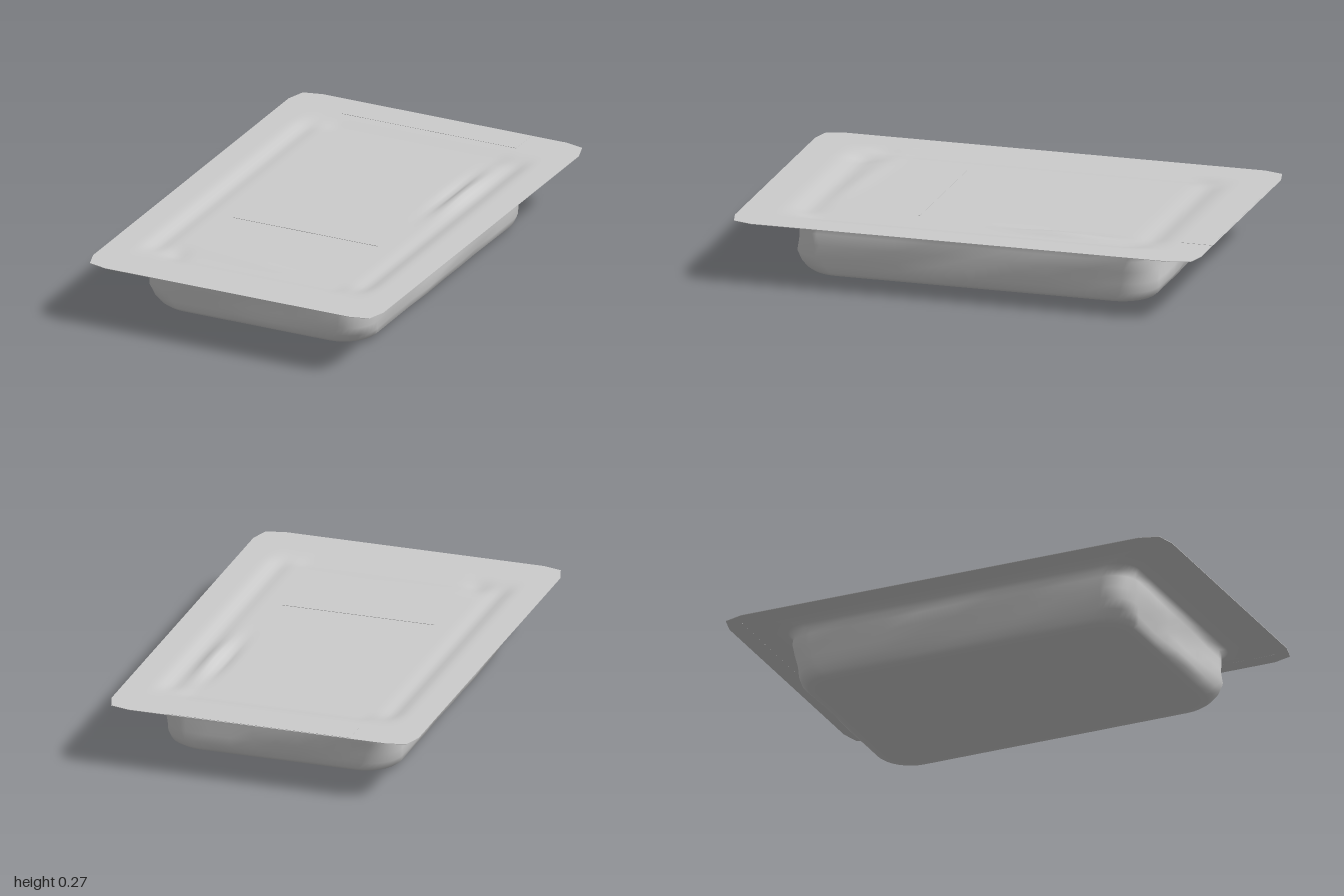
import * as THREE from 'three';

const RIM = 0.265;
const grey = () => new THREE.MeshStandardMaterial({ color: 0xcccccc, side: THREE.DoubleSide });
const bump = (v, centre, width) => Math.exp(-(((v - centre) / width) ** 2));
const smooth = THREE.MathUtils.smoothstep;

function add(group, name, geometry) {
  const mesh = new THREE.Mesh(geometry, grey());
  mesh.name = name;
  group.add(mesh);
  return mesh;
}

// Rounded rectangle as a closed loop of [x, z], same point count for any size
function roundedLoop(hx, hz, r) {
  const pts = [];
  const arc = 8, straight = 8;
  [[1, 1], [-1, 1], [-1, -1], [1, -1]].forEach(([sx, sz], k) => {
    for (let i = 0; i <= arc; i++) {
      const a = (k + i / arc) * Math.PI / 2;
      pts.push([sx * (hx - r) + r * Math.cos(a), sz * (hz - r) + r * Math.sin(a)]);
    }
    const [x, z] = pts[pts.length - 1];
    const across = k % 2 === 0;
    for (let i = 1; i < straight; i++) {
      const t = 1 - 2 * i / straight;
      pts.push(across ? [x * t, z] : [x, z * t]);
    }
  });
  return pts;
}

// Loft of rounded rectangles: [half x, half z, corner radius, y, wobble]
function trayGeometry() {
  const rings = [
    [0.002, 0.002, 0.001, 0.003, 0], [0.34, 0.6, 0.1, 0.003, 0],
    [0.44, 0.7, 0.13, 0.008, 0], [0.475, 0.735, 0.14, 0.014, 0.1],
    [0.493, 0.752, 0.14, 0.03, 0.5], [0.504, 0.763, 0.13, 0.06, 1],
    [0.51, 0.768, 0.12, 0.1, 1], [0.512, 0.77, 0.12, 0.15, 1],
    [0.514, 0.772, 0.11, 0.2, 0.8], [0.508, 0.772, 0.11, 0.232, 0.3],
    [0.522, 0.79, 0.1, 0.246, 0], [0.545, 0.84, 0.09, 0.257, 0],
    [0.575, 0.9, 0.07, 0.263, 0], [0.602, 0.935, 0.04, 0.2645, 0],
  ];
  const pos = [], index = [];
  let n = 0;
  for (const [hx, hz, r, y, w] of rings) {
    const loop = roundedLoop(hx, hz, r);
    n = loop.length;
    for (const [x, z] of loop) {
      const a = Math.atan2(z, x);
      const k = 1 + w * (0.007 * Math.sin(5 * a + y * 25) + 0.005 * Math.sin(11 * a - y * 40));
      pos.push(x * k, y, z * k);
    }
  }
  for (let j = 0; j < rings.length - 1; j++) {
    for (let i = 0; i < n; i++) {
      const a = j * n + i, b = j * n + (i + 1) % n;
      index.push(a, a + n, b, b, a + n, b + n);
    }
  }
  const g = new THREE.BufferGeometry();
  g.setAttribute('position', new THREE.Float32BufferAttribute(pos, 3));
  g.setIndex(index);
  g.computeVertexNormals();
  return g;
}

// Height of the stretched film over the tray
function filmHeight(x, z) {
  const ax = Math.abs(x), az = Math.abs(z);
  const inside = (1 - smooth(ax, 0.44, 0.55)) * (1 - smooth(az, 0.7, 0.85));
  let y = RIM + 0.001 - 0.009 * inside;
  // shallow gutters around the packed block
  y -= 0.008 * bump(ax, 0.48, 0.035) * (1 - smooth(az, 0.65, 0.78));
  y -= 0.007 * bump(az, 0.74, 0.05) * (1 - smooth(ax, 0.36, 0.46));
  // soft wrinkles near the front corners
  y += 0.004 * bump(z, 0.66 + 0.12 * x, 0.04) * bump(x, -0.1, 0.3);
  y -= 0.005 * bump(x - 0.3 * (z - 0.7), -0.37, 0.04) * bump(z, 0.72, 0.07);
  // lifted fold with a valley beside it
  const along = bump(z, -0.35, 0.2);
  y += 0.016 * bump(x, 0.41, 0.03) * along - 0.012 * bump(x, 0.36, 0.025) * along;
  return y;
}

function filmGeometry() {
  const g = new THREE.PlaneGeometry(1.2, 1.86, 60, 80).rotateX(-Math.PI / 2);
  const p = g.attributes.position;
  for (let i = 0; i < p.count; i++) p.setY(i, filmHeight(p.getX(i), p.getZ(i)));
  g.computeVertexNormals();
  return g;
}

// Flat rim with clipped corners and a rectangular opening
function flangeGeometry() {
  const corner = [[0.665, 0.9], [0.64, 0.98], [0.56, 1]];
  const flip = (sx, sz) => corner.map(([x, z]) => new THREE.Vector2(sx * x, sz * z));
  const shape = new THREE.Shape([
    ...flip(1, 1), ...flip(-1, 1).reverse(), ...flip(-1, -1), ...flip(1, -1).reverse(),
  ]);
  shape.holes.push(new THREE.Path([
    [-0.598, -0.928], [-0.598, 0.928], [0.598, 0.928], [0.598, -0.928],
  ].map(([x, z]) => new THREE.Vector2(x, z))));
  return new THREE.ExtrudeGeometry(shape, { depth: 0.002, bevelEnabled: false })
    .rotateX(-Math.PI / 2).translate(0, RIM - 0.001, 0);
}

export function createModel() {
  const group = new THREE.Group();
  group.name = 'sealedTray';
  add(group, 'tray', trayGeometry());
  add(group, 'flange', flangeGeometry());
  add(group, 'coverFilm', filmGeometry());

  // Fine seam across the film
  add(group, 'filmSeam', new THREE.BoxGeometry(0.66, 0.002, 0.005))
    .position.set(0, filmHeight(0, 0.28) + 0.0005, 0.28);

  // Pull strip at the back edge
  add(group, 'pullStrip', new THREE.BoxGeometry(0.8, 0.001, 0.14))
    .position.set(0, RIM + 0.0015, -0.925);
  return group;
}
